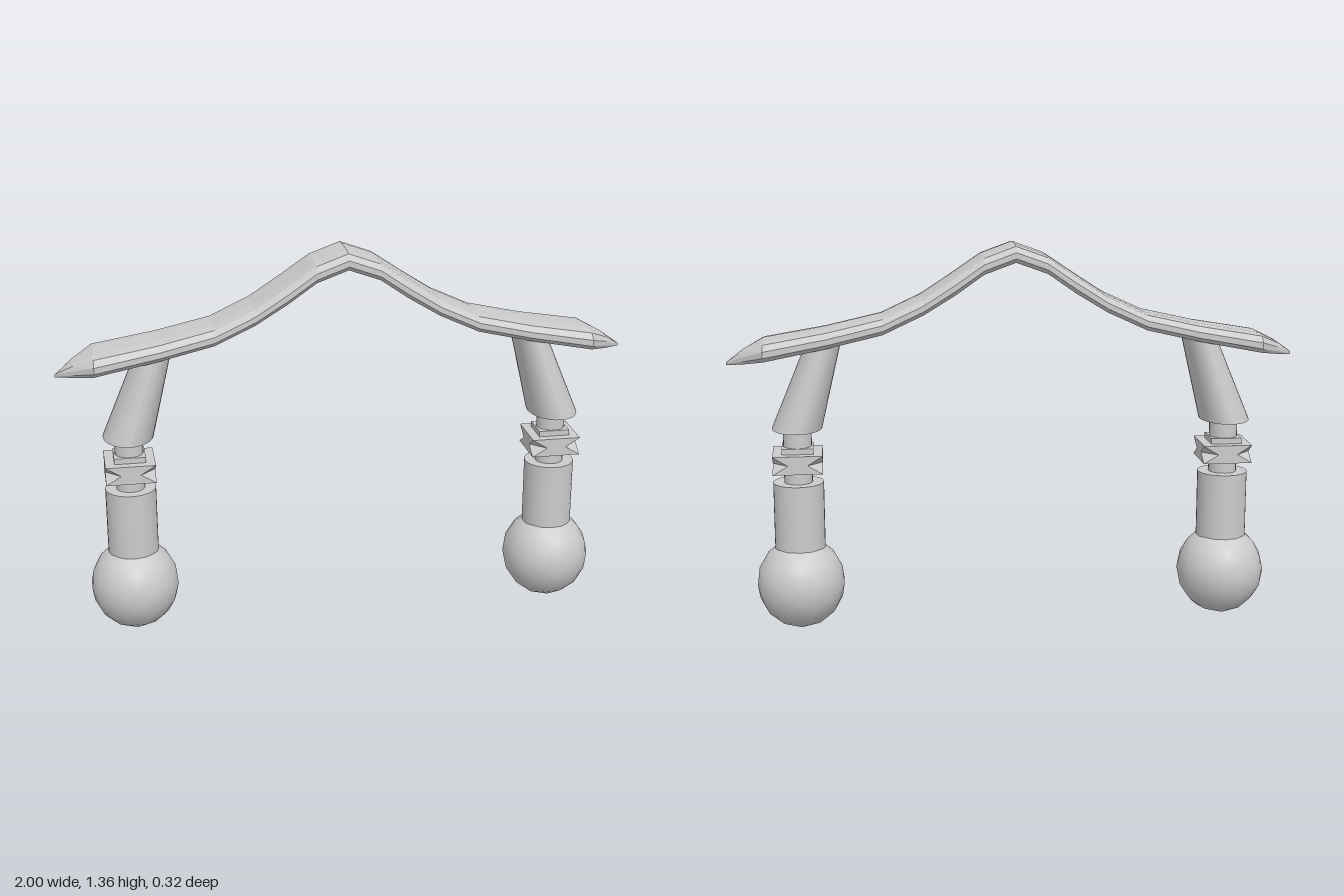
import * as THREE from 'three';

const material = new THREE.MeshStandardMaterial({ color: 0xcccccc });
const flatMaterial = new THREE.MeshStandardMaterial({ color: 0xcccccc, flatShading: true });

function part(name, geometry, mat = material) {
  const mesh = new THREE.Mesh(geometry, mat);
  mesh.name = name;
  return mesh;
}

// Skins a list of closed rings (each an array of [x, y, z]), with end caps
function loft(rings) {
  const n = rings[0].length, index = [];
  for (let i = 0; i < rings.length - 1; i++) {
    for (let j = 0; j < n; j++) {
      const k = (j + 1) % n;
      const a = i * n + j, b = i * n + k, c = b + n, d = a + n;
      index.push(a, b, c, a, c, d);
    }
  }
  const last = (rings.length - 1) * n;
  for (let j = 1; j < n - 1; j++) {
    index.push(0, j + 1, j, last, last + j, last + j + 1);
  }
  const geometry = new THREE.BufferGeometry();
  geometry.setAttribute('position', new THREE.Float32BufferAttribute(rings.flat(2), 3));
  geometry.setIndex(index);
  geometry.computeVertexNormals();
  return geometry;
}

// Arched band: x, top y, bottom y, half width
function createBand() {
  const half = [
    [0, 1.37, 1.31, 0.11], [0.11, 1.33, 1.27, 0.11], [0.21, 1.262, 1.2, 0.11],
    [0.32, 1.19, 1.133, 0.11], [0.46, 1.125, 1.068, 0.11], [0.65, 1.082, 1.024, 0.113],
    [0.87, 1.045, 0.982, 0.118], [0.94, 1.01, 0.967, 0.055], [1, 0.967, 0.957, 0],
  ];
  const mirrored = half.slice(1).reverse().map(([x, ...rest]) => [-x, ...rest]);
  const rings = [...mirrored, ...half].map(([x, top, bottom, w]) => {
    const t = top - bottom;
    const side = [
      [top, 0.4 * w], [top - 0.08 * t, 0.8 * w], [top - 0.4 * t, w],
      [bottom + 0.25 * t, w], [bottom, 0.87 * w],
    ];
    const other = side.map(([y, z]) => [y, -z]).reverse();
    return [...side, ...other].map(([y, z]) => [x, y, z]);
  });
  return part('archedBand', loft(rings), flatMaterial);
}

// Square collar whose corners are notched at mid height
function createCollar() {
  const w = 0.087;
  const ring = (y, c) => {
    const pts = [];
    for (const [sx, sz] of [[1, 1], [1, -1], [-1, -1], [-1, 1]]) {
      const pair = [[sx * c, y, sz * w], [sx * w, y, sz * c]];
      pts.push(...(sx * sz > 0 ? pair : pair.reverse()));
    }
    return pts;
  };
  return part('collar', loft([ring(0.58, w), ring(0.612, 0.034), ring(0.645, w)]), flatMaterial);
}

// Leaning oval arm: wide at the base, shifted inward at the top
function createArm(side) {
  const y0 = 0.73, y1 = 1.035, height = y1 - y0;
  const geometry = new THREE.CylinderGeometry(1, 1, height, 32);
  const p = geometry.attributes.position;
  for (let i = 0; i < p.count; i++) {
    const t = p.getY(i) / height + 0.5;
    const x = p.getX(i) * THREE.MathUtils.lerp(0.088, 0.06, t) - side * 0.1 * t;
    const z = p.getZ(i) * THREE.MathUtils.lerp(0.122, 0.093, t);
    p.setXYZ(i, x, y0 + t * height, z);
  }
  geometry.computeVertexNormals();
  return part('leaningArm', geometry);
}

function createLeg(side) {
  const leg = new THREE.Group();
  leg.name = side > 0 ? 'leftLeg' : 'rightLeg';
  leg.position.x = side * 0.762;

  const ball = part('footBall', new THREE.IcosahedronGeometry(0.163, 2));
  ball.scale.x = 0.96;
  ball.position.y = 0.166;

  const shaft = part('shaft', new THREE.CylinderGeometry(0.089, 0.089, 0.335, 32));
  shaft.position.y = 0.3675;

  const pin = part('pin', new THREE.CylinderGeometry(0.05, 0.05, 0.24, 24));
  pin.position.y = 0.63;

  const plate = part('plate', new THREE.BoxGeometry(0.11, 0.025, 0.11));
  plate.position.y = 0.6525;

  leg.add(ball, shaft, pin, plate, createCollar(), createArm(side));
  return leg;
}

export function createModel() {
  const model = new THREE.Group();
  model.name = 'archOnTwoLegs';
  model.add(createBand(), createLeg(1), createLeg(-1));
  return model;
}
